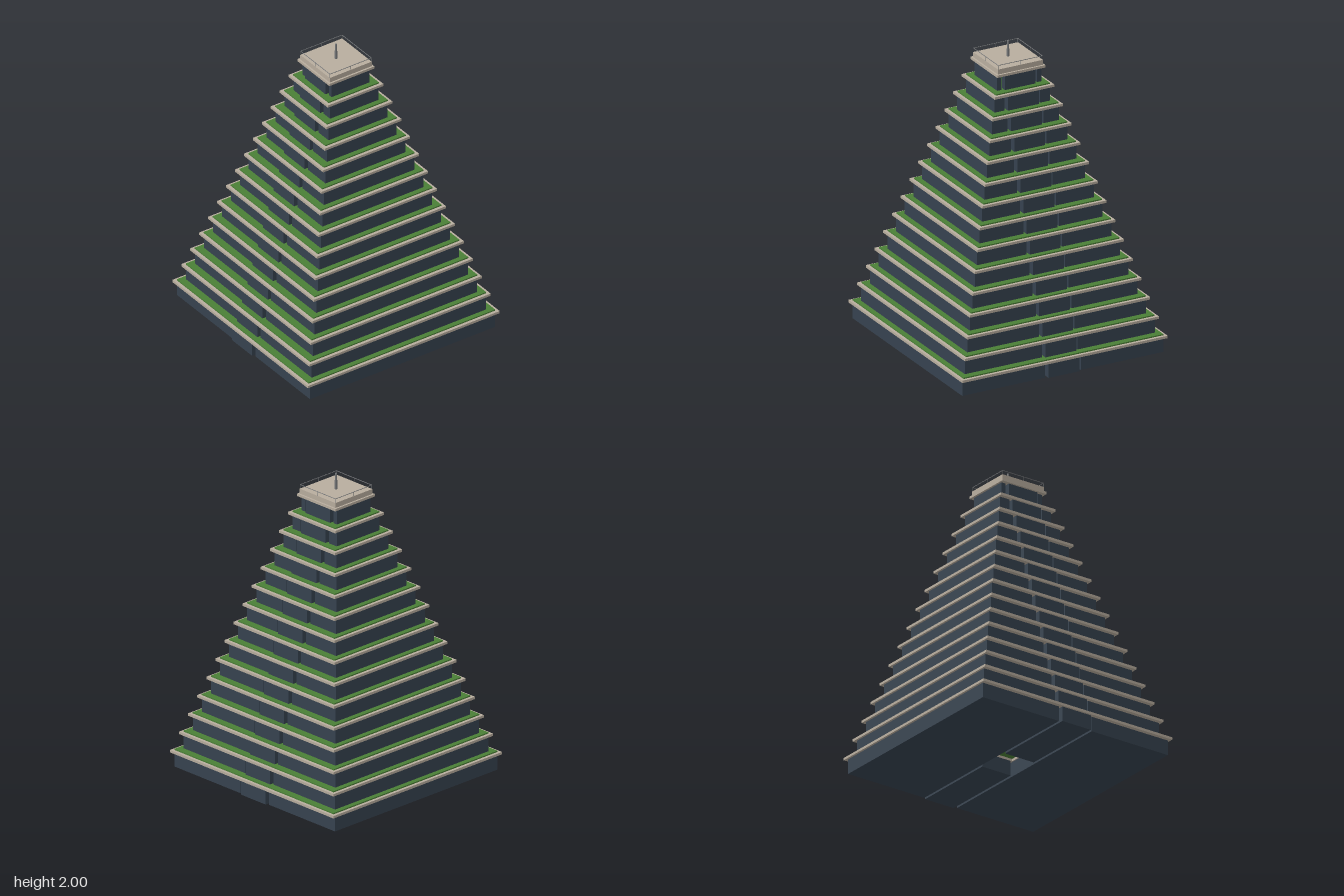
import * as THREE from 'three';

const material = (name, color) => {
  const m = new THREE.MeshStandardMaterial({ color });
  m.name = name;
  return m;
};

const TIERS = 15;
const PITCH = 0.1245;     // height of one tier
const STEP = 0.04;        // setback per tier
const BODY = 0.1;         // height of the glazed storey
const SLAB = 0.0165;      // terrace slab thickness
const COURT = 0.12;       // half width of the open core

export function createModel() {
  const glass = material('dark glazing', 0x36424f);
  const stone = material('pale stone', 0xb8ad9e);
  const grass = material('terrace grass', 0x4a7f36);
  const metal = material('grey metal', 0x77797b);

  const tower = new THREE.Group();
  tower.name = 'terracedTower';

  function add(parent, name, geometry, mat, x = 0, y = 0, z = 0) {
    const mesh = new THREE.Mesh(geometry, mat);
    mesh.name = name;
    mesh.position.set(x, y, z);
    parent.add(mesh);
    return mesh;
  }
  const box = (parent, name, mat, w, h, d, x, y, z) =>
    add(parent, name, new THREE.BoxGeometry(w, h, d), mat, x, y + h / 2, z);

  // Square slab with the open core cut out, lying flat
  function slabGeometry(half) {
    const square = (r) => [[-r, -r], [r, -r], [r, r], [-r, r]].map(([x, y]) => new THREE.Vector2(x, y));
    const shape = new THREE.Shape(square(half));
    shape.holes.push(new THREE.Path(square(COURT).reverse()));
    return new THREE.ExtrudeGeometry(shape, { depth: SLAB, bevelEnabled: false }).rotateX(-Math.PI / 2);
  }

  for (let i = 0; i < TIERS; i++) {
    const tier = new THREE.Group();
    tier.name = `tier${i + 1}`;
    tier.position.y = i * PITCH;
    tower.add(tier);
    const half = 0.718 - STEP * i;

    // Front and back wings, and side wings separated by narrow slits
    for (const s of [1, -1]) {
      const depth = half - 0.127;
      box(tier, s > 0 ? 'frontWing' : 'backWing', glass, 2 * (half - 0.013), BODY, depth, 0, 0, s * (0.127 + depth / 2));
      const width = half - COURT;
      box(tier, s > 0 ? 'leftWing' : 'rightWing', glass, width, BODY, 0.22, s * (COURT + width / 2), 0, 0);
    }

    // Overhanging slab topped with planting
    add(tier, 'terraceSlab', slabGeometry(half + 0.014), stone, 0, BODY, 0);
    const lawn = 2 * (half - 0.006);
    box(tier, 'terraceLawn', grass, lawn, PITCH - BODY - SLAB, lawn, 0, BODY + SLAB, 0);
  }

  // Roof block
  const roofBase = TIERS * PITCH - 0.008, roofTop = 1.893, railY = 1.92, r = 0.158;
  box(tower, 'roofBlock', stone, 0.32, roofTop - roofBase, 0.32, 0, roofBase, 0);

  // Thin railing around the roof
  const railing = new THREE.Group();
  railing.name = 'roofRailing';
  tower.add(railing);
  const t = 0.003;
  for (let k = 0; k < 4; k++) {
    const side = new THREE.Group();
    side.name = 'railSide';
    side.rotation.y = k * Math.PI / 2;
    railing.add(side);
    box(side, 'rail', metal, 2 * r, t, t, 0, railY - t / 2, r);
    for (const x of [-r, 0]) box(side, 'railPost', metal, 0.002, railY - roofTop, 0.002, x, roofTop, r);
  }

  // Mast
  add(tower, 'mast', new THREE.CylinderGeometry(0.006, 0.01, 2 - roofTop, 8), metal, 0, (2 + roofTop) / 2, 0);

  return tower;
}
